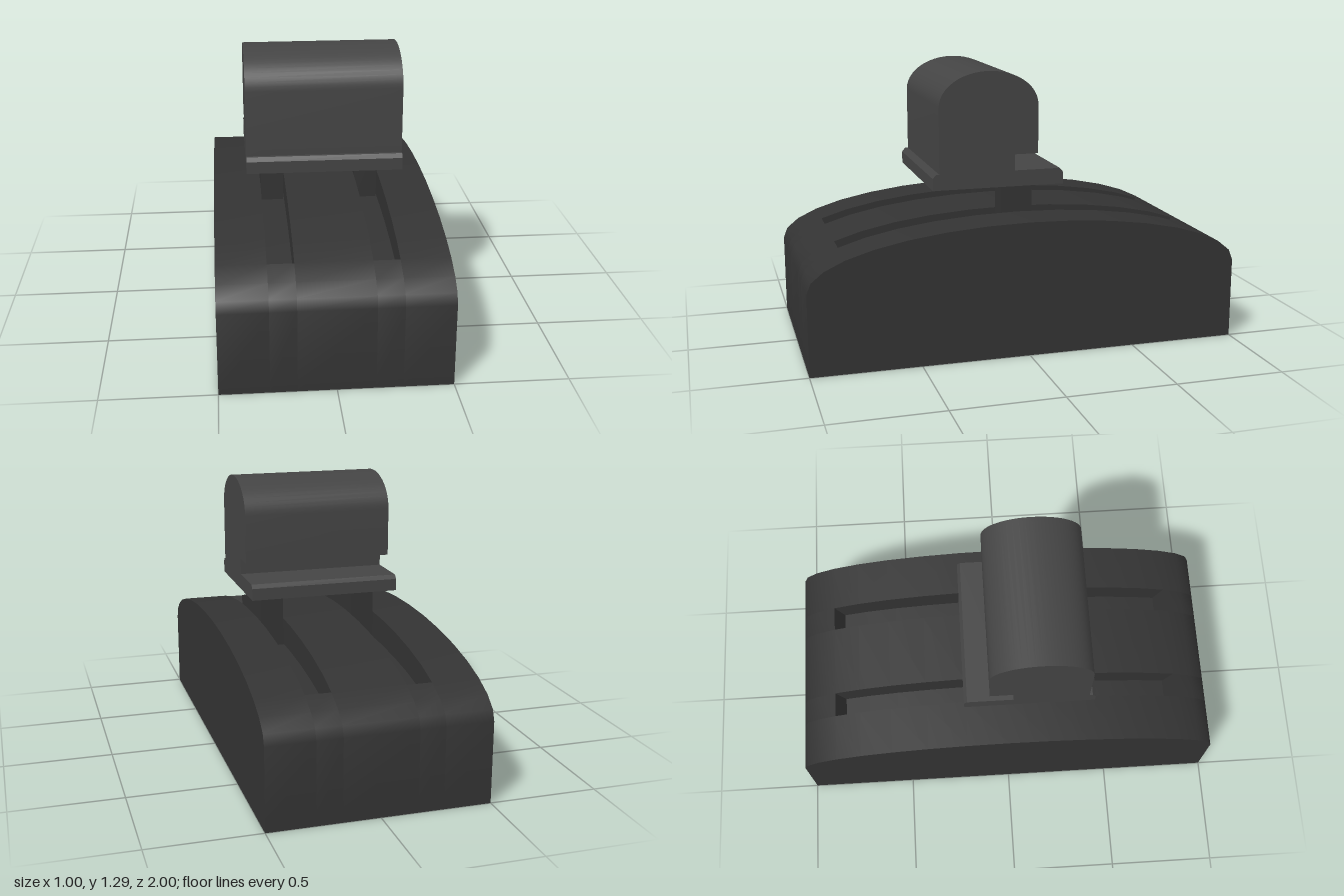
import * as THREE from 'three';
import { toCreasedNormals } from 'three/addons/utils/BufferGeometryUtils.js';

const baseMaterial = new THREE.MeshStandardMaterial({ color: 0x333333 });
const knobMaterial = new THREE.MeshStandardMaterial({ color: 0x444444 });

// Extrudes a side profile of [z, y] points across the width from x0 to x1
function extrudeProfile(name, points, x0, x1, material, crease) {
  const shape = new THREE.Shape(points.map(([z, y]) => new THREE.Vector2(-z, y)));
  const geometry = new THREE.ExtrudeGeometry(shape, { depth: x1 - x0, bevelEnabled: false });
  geometry.rotateY(Math.PI / 2).translate(x0, 0, 0);
  const mesh = new THREE.Mesh(toCreasedNormals(geometry, crease), material);
  mesh.name = name;
  return mesh;
}

// Points on an elliptical arc from step i0 to i1, where `steps` spans half a turn
function arc(cz, cy, a, b, i0, i1, steps) {
  const points = [];
  for (let i = i0; i <= i1; i++) {
    const t = (i / steps) * Math.PI;
    points.push([cz + a * Math.cos(t), cy + b * Math.sin(t)]);
  }
  return points;
}

export function createModel() {
  const group = new THREE.Group();

  // Domed base, made of solid strips and grooved strips side by side
  const solid = [[-1, 0], [1, 0], ...arc(0, 0.375, 1, 0.25, 0, 16, 16)];
  const grooved = [
    [-1, 0], [1, 0],
    ...arc(0, 0.375, 1, 0.25, 0, 3, 16),
    ...arc(0, 0.3, 0.95, 0.2, 3, 13, 16),
    ...arc(0, 0.375, 1, 0.25, 13, 16, 16),
  ];
  const base = new THREE.Group();
  base.name = 'base';
  const edges = [-0.5, -0.283, -0.167, 0.167, 0.283, 0.5];
  for (let i = 0; i < 5; i++) {
    const isSlot = i % 2 === 1;
    base.add(extrudeProfile(isSlot ? 'slotStrip' : 'solidStrip',
      isSlot ? grooved : solid, edges[i], edges[i + 1], baseMaterial, 0.7));
  }
  group.add(base);

  // Two posts that ride in the slots
  for (const side of [-1, 1]) {
    const post = new THREE.Mesh(new THREE.BoxGeometry(0.108, 0.28, 0.146), baseMaterial);
    post.name = side > 0 ? 'leftPost' : 'rightPost';
    post.position.set(side * 0.225, 0.625, 0);
    group.add(post);
  }

  // Lever handle: chamfered foot plate, rounded grip and a notch at the back
  const handle = [
    [-0.2, 0.76], [0.41, 0.76], [0.41, 0.815], [0.395, 0.833], [0.38, 0.833],
    ...arc(0.15, 1.13, 0.23, 0.157, 0, 24, 24),
    [-0.08, 0.907], [0.03, 0.907], [0.03, 0.833], [-0.185, 0.833], [-0.2, 0.815],
  ];
  group.add(extrudeProfile('handle', handle, -0.35, 0.35, knobMaterial, 0.5));

  return group;
}
